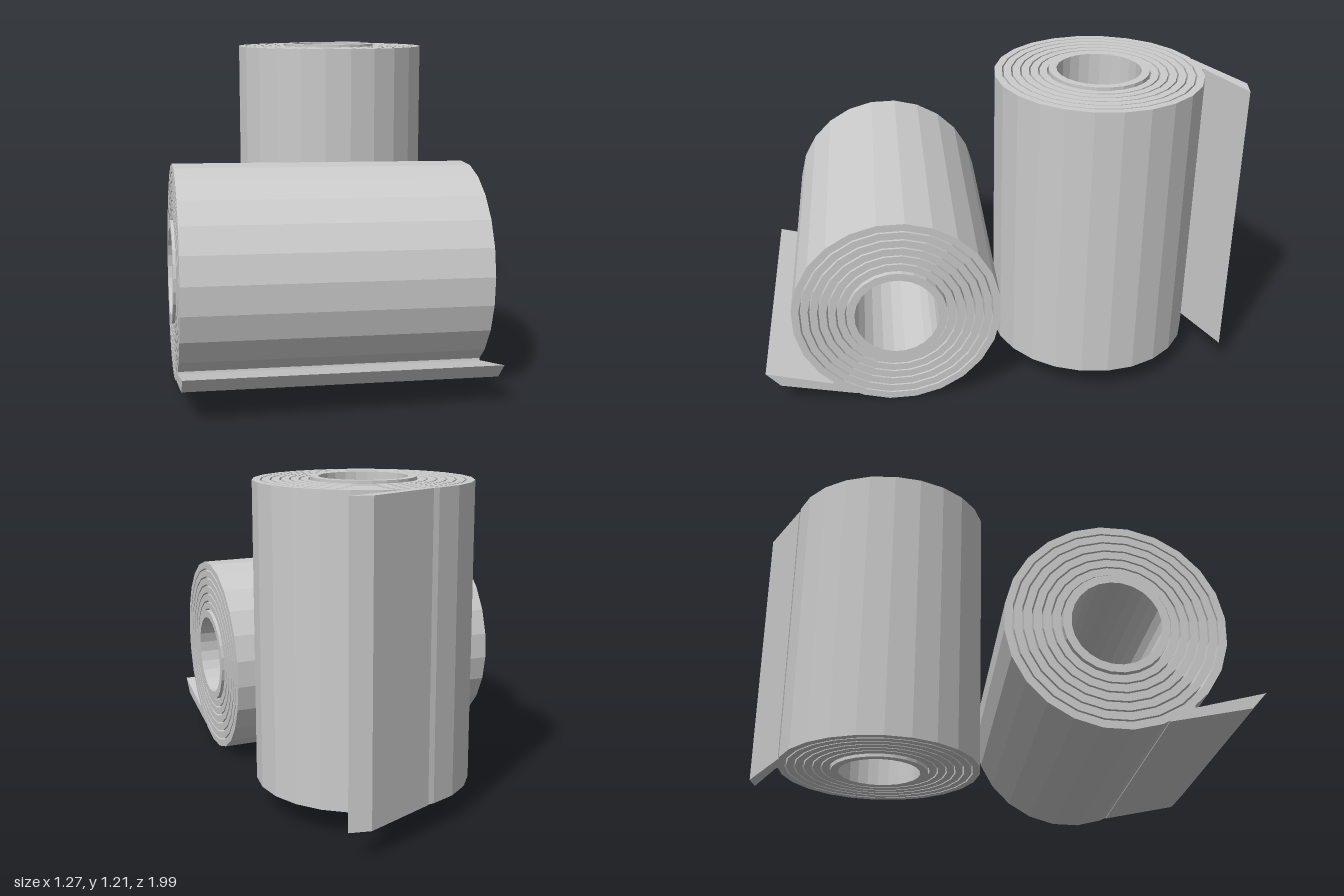
import * as THREE from 'three';

const LENGTH = 1.1, OUTER = 0.395, CORE_IN = 0.16, CORE_OUT = 0.19, WRAPS = 6, GAP = 0.006;

const paper = new THREE.MeshStandardMaterial({ color: 0xcccccc, flatShading: true });

// Extrudes a cross-section along z, centred on the roll's middle
function extruded(shape, length, name) {
  const geometry = new THREE.ExtrudeGeometry(shape, { depth: length, bevelEnabled: false, curveSegments: 12 });
  geometry.translate(0, 0, -length / 2);
  const mesh = new THREE.Mesh(geometry, paper);
  mesh.name = name;
  return mesh;
}

function tube(inner, outer, length, name) {
  const shape = new THREE.Shape().absarc(0, 0, outer, 0, Math.PI * 2, false);
  shape.holes.push(new THREE.Path().absarc(0, 0, inner, 0, Math.PI * 2, true));
  return extruded(shape, length, name);
}

// One paper roll whose axis is z
function roll(name) {
  const group = new THREE.Group();
  group.name = name;

  // Cardboard core, slightly longer than the paper
  group.add(tube(CORE_IN, CORE_OUT, LENGTH + 0.02, 'core'));

  // Concentric paper layers with thin gaps
  const pitch = (OUTER - CORE_OUT) / WRAPS;
  for (let i = 0; i < WRAPS; i++) {
    const inner = CORE_OUT + i * pitch + GAP;
    group.add(tube(inner, CORE_OUT + (i + 1) * pitch, LENGTH, `paperLayer${i + 1}`));
  }

  // Loose end of the sheet, cut at a slant
  const tail = new THREE.Shape([
    [-0.165, 0.345], [-0.06, 0.375], [-0.075, 0.392], [0.135, 0.548], [0.055, 0.543], [-0.175, 0.355],
  ].map(([x, y]) => new THREE.Vector2(x, y)));
  group.add(extruded(tail, LENGTH, 'looseEnd'));
  return group;
}

export function createModel() {
  const model = new THREE.Group();
  model.name = 'paperRolls';

  // Upright roll at the back
  const standing = roll('standingRoll');
  standing.rotation.x = -Math.PI / 2;
  standing.position.set(-0.013, 0.65, -0.452);
  model.add(standing);

  // Roll lying in front, turned so its loose end rests low at the front
  const spun = roll('lyingRoll');
  spun.rotation.z = THREE.MathUtils.degToRad(129);
  const onSide = new THREE.Group();
  onSide.name = 'lyingRollAxis';
  onSide.rotation.y = Math.PI / 2;
  onSide.add(spun);
  const lying = new THREE.Group();
  lying.name = 'lyingRollPlacement';
  lying.rotation.set(0, THREE.MathUtils.degToRad(13.2), THREE.MathUtils.degToRad(-1), 'YXZ');
  lying.position.set(-0.015, 0.405, 0.37);
  lying.add(onSide);
  model.add(lying);

  return model;
}
